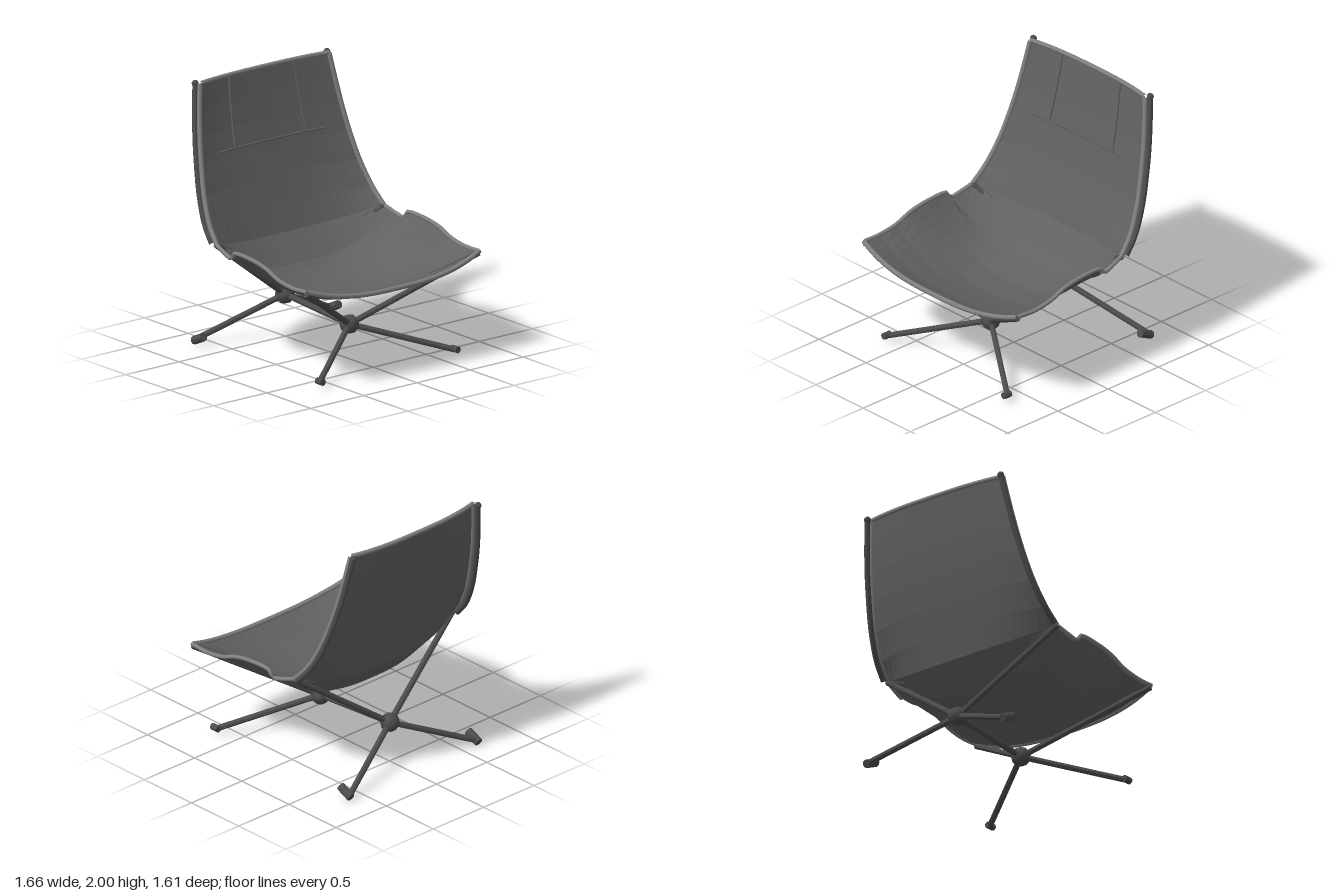
import * as THREE from 'three';

// Sling stations, front to back: centre z, y | edge x, z, y
const STATIONS = [
  [0.785, 0.67, 0.81, 0.73, 0.78],
  [0.6, 0.59, 0.815, 0.57, 0.775],
  [0.4, 0.533, 0.815, 0.4, 0.80],
  [0.25, 0.502, 0.815, 0.27, 0.85],
  [0.02, 0.495, 0.815, 0.1, 0.88],
  [-0.15, 0.535, 0.815, -0.105, 0.876],
  [-0.25, 0.575, 0.81, -0.125, 0.832],
  [-0.31, 0.61, 0.80, -0.22, 0.85],
  [-0.48, 0.8, 0.785, -0.33, 0.885],
  [-0.55, 1.0, 0.765, -0.435, 1.0],
  [-0.615, 1.2, 0.73, -0.54, 1.19],
  [-0.67, 1.4, 0.695, -0.614, 1.4],
  [-0.72, 1.6, 0.665, -0.668, 1.6],
  [-0.76, 1.8, 0.635, -0.708, 1.8],
  [-0.79, 1.975, 0.607, -0.738, 1.98],
];
const LAST = STATIONS.length - 1;
const BACK = 8; // station where the backrest starts

// Point on the sling: t runs front to back, s runs from -1 to 1 across
function slingPoint(t, s) {
  const i = Math.min(Math.floor(t), LAST - 1);
  const [cz, cy, ex, ez, ey] = STATIONS[i].map((v, k) => THREE.MathUtils.lerp(v, STATIONS[i + 1][k], t - i));
  const w = Math.pow(Math.abs(s), 2.75);
  return new THREE.Vector3(ex * s, cy + (ey - cy) * w, cz + (ez - cz) * w);
}

// Split the faces so that each one is shaded flat
function faceted(geo) {
  const flat = geo.toNonIndexed();
  flat.computeVertexNormals();
  return flat;
}

function slingGeometry(cols) {
  const pos = [], index = [];
  for (let t = 0; t <= LAST; t++) {
    for (let j = 0; j <= cols; j++) pos.push(...slingPoint(t, (j / cols) * 2 - 1).toArray());
  }
  for (let t = 0; t < LAST; t++) {
    for (let j = 0; j < cols; j++) {
      const a = t * (cols + 1) + j, b = a + cols + 1;
      index.push(a, a + 1, b, a + 1, b + 1, b);
    }
  }
  const geo = new THREE.BufferGeometry();
  geo.setAttribute('position', new THREE.Float32BufferAttribute(pos, 3));
  geo.setIndex(index);
  return faceted(geo);
}

export function createModel() {
  const group = new THREE.Group();
  const fabric = new THREE.MeshStandardMaterial({ color: 0x616163, side: THREE.DoubleSide });
  fabric.name = 'grey fabric';
  const piping = new THREE.MeshStandardMaterial({ color: 0x808082 });
  piping.name = 'light grey piping';
  const metal = new THREE.MeshStandardMaterial({ color: 0x4b4c4d });
  metal.name = 'dark grey metal';

  const add = (name, geo, mat) => {
    const mesh = new THREE.Mesh(geo, mat);
    mesh.name = name;
    group.add(mesh);
    return mesh;
  };
  const V = (x, y, z) => new THREE.Vector3(x, y, z);

  // Straight rod between two points
  const rod = (name, a, b, r) => {
    const dir = b.clone().sub(a);
    const mesh = add(name, faceted(new THREE.CylinderGeometry(r, r, dir.length(), 8)), metal);
    mesh.position.copy(a).add(b).multiplyScalar(0.5);
    mesh.quaternion.setFromUnitVectors(V(0, 1, 0), dir.normalize());
  };
  // Smooth tube that follows the sling from one (t, s) to another
  const strip = (name, t0, s0, t1, s1, r, mat, n = 16, offset = V(0, 0, 0)) => {
    const pts = [];
    for (let i = 0; i <= n; i++) {
      const k = i / n;
      pts.push(slingPoint(t0 + (t1 - t0) * k, s0 + (s1 - s0) * k).add(offset));
    }
    add(name, new THREE.TubeGeometry(new THREE.CatmullRomCurve3(pts), n * 3, r, 8), mat);
  };

  // Fabric sling with piped edges
  add('sling', slingGeometry(24), fabric);
  strip('frontPiping', 0, -1, 0, 1, 0.019, piping);
  strip('topPiping', LAST, -1, LAST, 1, 0.017, piping);

  // Headrest seams, lying on the front of the backrest
  const lift = V(0, 0.002, 0.008);
  strip('headrestSeam', 11.25, -0.74, 11.25, 0.74, 0.008, fabric, 16, lift);

  const frontHub = V(0, 0.265, 0.23), backHub = V(0, 0.32, -0.505);
  for (const s of [-1, 1]) {
    strip('headrestSideSeam', 11.25, s * 0.485, LAST, s * 0.5, 0.007, fabric, 11, lift);
    strip('seatEdgePiping', 0, s, BACK, s, 0.016, piping, BACK);
    strip('backEdgePiping', BACK, s, LAST, s, 0.019, piping, 6);

    // Corner creases
    strip('frontCrease', 0.25, s * 0.93, 1.3, s * 0.61, 0.008, fabric, 6, V(0, 0.003, 0));
    strip('backCrease', BACK, s * 0.97, 7.75, s * 0.77, 0.005, fabric, 6);

    // Back posts and corner caps
    strip('backPost', BACK, s, LAST, s, 0.021, metal, 6, V(s * 0.013, 0, -0.038));
    const cap = add('postCap', new THREE.IcosahedronGeometry(0.026, 1), metal);
    cap.position.set(s * 0.62, 1.975, -0.777);

    // Arms that carry the sling
    rod('frontArm', frontHub, V(s * 0.81, 0.765, 0.725), 0.022);
    rod('backArm', backHub, V(s * 0.79, 0.885, -0.33), 0.022);

    // Legs and feet
    rod('frontLeg', frontHub, V(s * 0.635, 0.05, 0.66), 0.022);
    rod('backLeg', backHub, V(s * 0.635, 0.04, -0.755), 0.022);
    rod('frontFoot', V(s * 0.635, 0.055, 0.635), V(s * 0.635, 0.055, 0.7), 0.026);
    rod('backFoot', V(s * 0.635, 0.08, -0.66), V(s * 0.635, 0.03, -0.77), 0.032);
  }

  // Spine and hubs
  rod('spine', frontHub, backHub, 0.023);
  for (const [name, p] of [['frontHub', frontHub], ['backHub', backHub]]) {
    add(name, new THREE.IcosahedronGeometry(0.073, 1), metal).position.copy(p);
  }
  return group;
}
